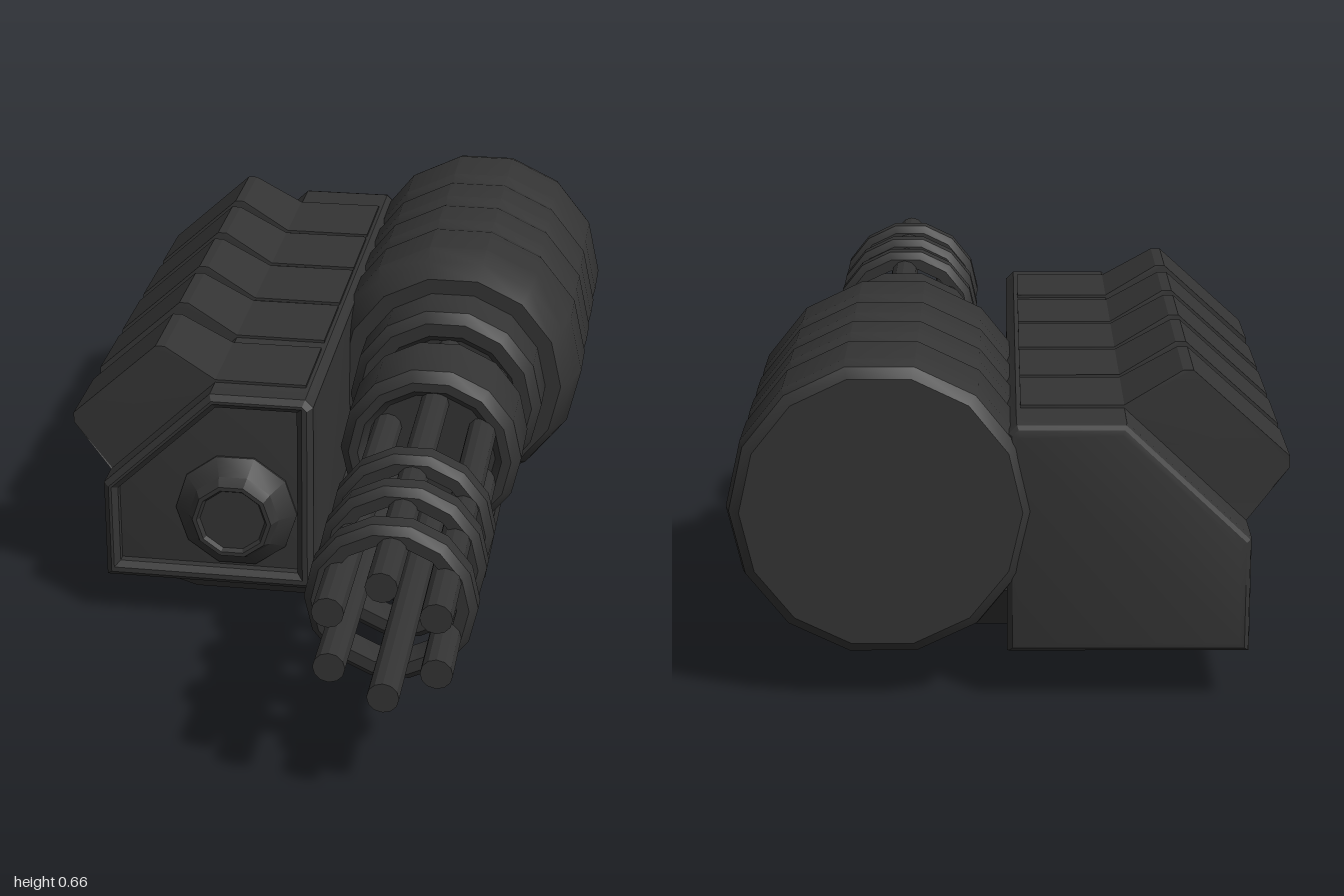
import * as THREE from 'three';
import { toCreasedNormals } from 'three/addons/utils/BufferGeometryUtils.js';

export function createModel() {
  const model = new THREE.Group();
  const gunmetal = new THREE.MeshStandardMaterial({ color: 0x343434 });
  gunmetal.name = 'gunmetal';

  const add = (name, geometry, x = 0, y = 0, z = 0, parent = model) => {
    const mesh = new THREE.Mesh(toCreasedNormals(geometry, 0.5), gunmetal);
    mesh.name = name;
    mesh.position.set(x, y, z);
    parent.add(mesh);
    return mesh;
  };
  // Turned part along z; profile is [radius, z] from back to front
  const turned = (profile, sides) =>
    new THREE.LatheGeometry(profile.map(p => new THREE.Vector2(...p)), sides, Math.PI / sides).rotateX(Math.PI / 2);
  const shapeOf = pts => new THREE.Shape(pts.map(p => new THREE.Vector2(...p)));
  // Extrusion between two z values, with the bevel kept inside the outline
  const slab = (shape, z0, z1, bevel, segments = 1) =>
    new THREE.ExtrudeGeometry(shape, {
      depth: z1 - z0 - 2 * bevel, bevelEnabled: bevel > 0, bevelSize: bevel,
      bevelThickness: bevel, bevelOffset: -bevel, bevelSegments: segments,
    }).translate(0, 0, z0 + bevel);

  const cx = 0.238, cy = 0.38;

  // Ribbed motor drum
  const drum = [[0, -1], [0.262, -1], [0.282, -0.985], [0.29, -0.955]];
  for (const z of [-0.79, -0.63, -0.47]) drum.push([0.29, z - 0.035], [0.28, z], [0.29, z + 0.035]);
  drum.push([0.29, -0.32], [0.275, -0.265], [0.25, -0.22], [0, -0.22]);
  add('motorDrum', turned(drum, 14), cx, cy);

  // Stepped neck in front of the drum
  add('drumNeck', turned([[0.215, -0.24], [0.215, -0.115], [0.195, -0.09], [0.165, -0.09],
    [0.15, -0.105], [0, -0.105]], 14), cx, cy);

  // Collar that carries the barrels
  add('barrelCollar', turned([[0, -0.01], [0.175, -0.01], [0.195, 0.015], [0.195, 0.165],
    [0.175, 0.19], [0.155, 0.19], [0.14, 0.175], [0, 0.175]], 14), cx, cy);

  // Six barrels and their three clamp rings
  const barrels = new THREE.Group();
  barrels.name = 'barrelCluster';
  barrels.position.set(0.248, 0.382, 0);
  model.add(barrels);
  for (let i = 0; i < 6; i++) {
    const a = Math.PI / 2 + 0.02 + i * Math.PI / 3;
    add('barrel', new THREE.CylinderGeometry(0.031, 0.031, 1.15, 12).rotateX(Math.PI / 2),
      Math.cos(a) * 0.117, Math.sin(a) * 0.117, 0.425, barrels);
  }
  for (const z of [0.515, 0.66, 0.825]) {
    add('clampRing', turned([[0.128, -0.033], [0.152, -0.033], [0.168, -0.018], [0.168, 0.018],
      [0.152, 0.033], [0.128, 0.033], [0.128, -0.033]], 14), -0.005, 0.002, z, barrels);
  }

  // Ammunition box with a framed front panel
  const outline = [[-0.45, 0.1], [0.005, 0.1], [0.005, 0.528], [-0.012, 0.545], [-0.215, 0.545], [-0.45, 0.322]];
  add('ammoBox', slab(shapeOf(outline), -0.99, 0.28, 0.02, 3));
  const frame = shapeOf(outline);
  frame.holes.push(new THREE.Path([[-0.42, 0.135], [-0.42, 0.31], [-0.203, 0.515], [-0.03, 0.515], [-0.03, 0.135]]
    .map(p => new THREE.Vector2(...p))));
  add('boxFrontFrame', slab(frame, 0.24, 0.31, 0.012));

  // Domed knob on the front panel
  add('frontKnob', turned([[0.132, 0.26], [0.132, 0.285], [0.098, 0.315], [0.085, 0.34],
    [0.076, 0.34], [0.07, 0.33], [0, 0.33]], 10), -0.165, 0.268);

  // Five raised covers over the sloping shoulder of the box
  const finShape = shapeOf([[-0.425, 0.3], [-0.2, 0.5], [-0.02, 0.5], [-0.02, 0.551], [-0.215, 0.551],
    [-0.325, 0.615], [-0.345, 0.615], [-0.53, 0.447], [-0.53, 0.425], [-0.45, 0.325]]);
  for (const z of [-0.77, -0.55, -0.33, -0.11, 0.135]) {
    const geo = slab(finShape, -0.09, 0.09, 0);
    const p = geo.attributes.position;
    // widen each cover toward the box
    for (let i = 0; i < p.count; i++) {
      const height = -0.69 * p.getX(i) + 0.724 * p.getY(i);
      const spread = THREE.MathUtils.clamp((0.66 - height) / 0.12, 0, 1);
      p.setZ(i, p.getZ(i) * (1 + 0.14 * spread));
    }
    add('shoulderCover', geo, 0, 0, z);
  }

  // Mounting base: stacked rectangles with clipped corners, narrowing downward
  const levels = [[0, -0.305, 0.21, -0.56, 0.14, 0.02], [0.1, -0.46, 0.365, -0.64, 0.24, 0.05],
    [0.16, -0.46, 0.365, -0.64, 0.24, 0.05]];
  const verts = [], index = [];
  for (const [y, x0, x1, z0, z1, c] of levels) {
    for (const [x, z] of [[x0, z1 - c], [x0 + c, z1], [x1 - c, z1], [x1, z1 - c],
      [x1, z0 + c], [x1 - c, z0], [x0 + c, z0], [x0, z0 + c]]) verts.push(x, y, z);
  }
  for (let l = 0; l < 2; l++) {
    for (let i = 0; i < 8; i++) {
      const a = l * 8 + i, b = l * 8 + (i + 1) % 8;
      index.push(a, b, b + 8, a, b + 8, a + 8);
    }
  }
  for (let i = 1; i < 7; i++) index.push(0, i + 1, i, 16, 16 + i, 17 + i);
  const base = new THREE.BufferGeometry();
  base.setAttribute('position', new THREE.Float32BufferAttribute(verts, 3));
  base.setIndex(index);
  add('mountingBase', base);

  return model;
}
